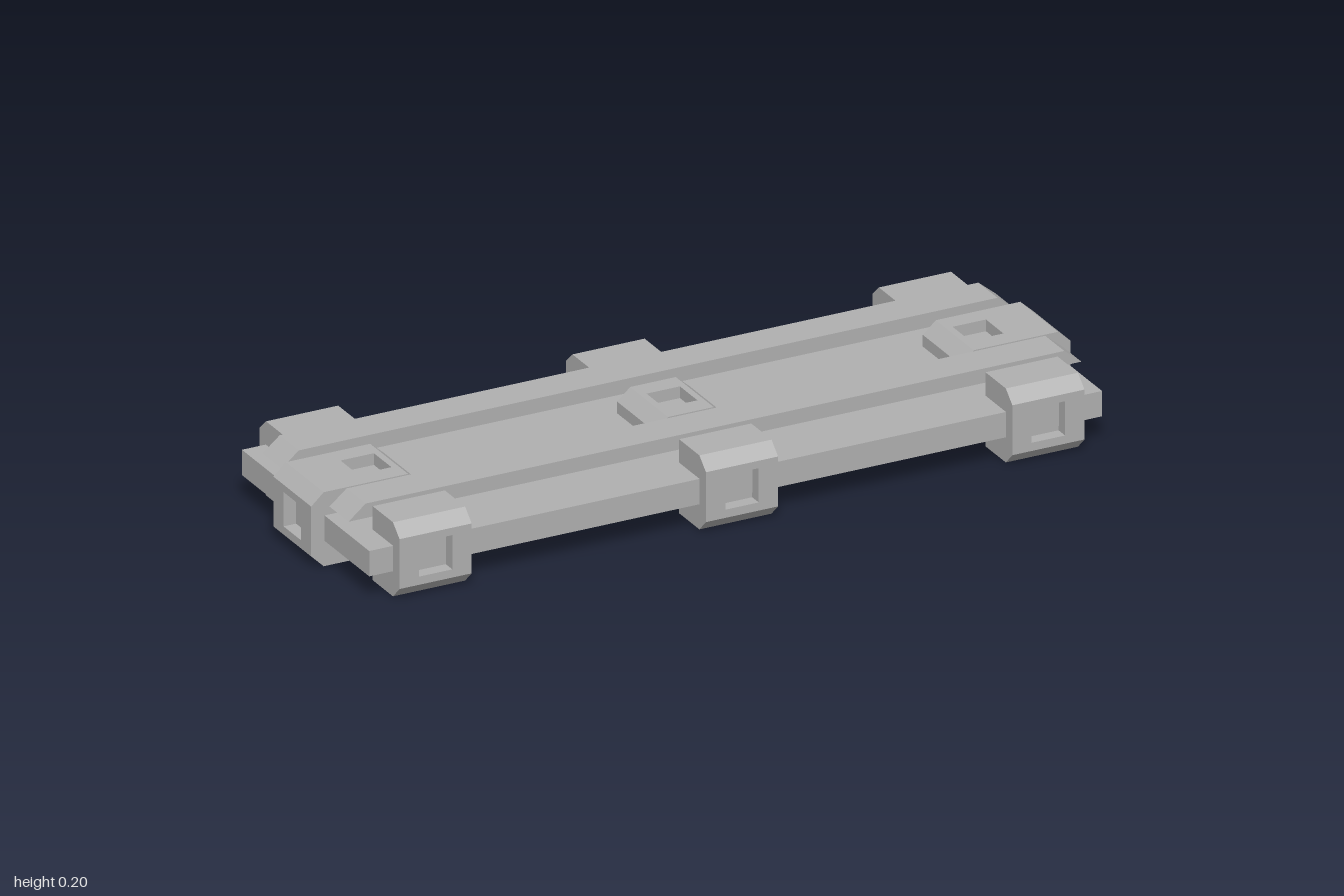
import * as THREE from 'three';

const grey = new THREE.MeshStandardMaterial({ color: 0xb0b0b0 });
grey.name = 'plain grey';

const W = 0.095; // half width of every clamp

function add(parent, name, geometry) {
  const mesh = new THREE.Mesh(geometry, grey);
  mesh.name = name;
  parent.add(mesh);
  return mesh;
}

// Box given by its limits
function box(parent, name, x0, x1, y0, y1, z0, z1) {
  const g = new THREE.BoxGeometry(x1 - x0, y1 - y0, z1 - z0);
  g.translate((x0 + x1) / 2, (y0 + y1) / 2, (z0 + z1) / 2);
  return add(parent, name, g);
}

function polygon(points) {
  return new THREE.Shape(points.map(([x, y]) => new THREE.Vector2(x, y)));
}

function extrude(shape, depth) {
  return new THREE.ExtrudeGeometry(shape, { depth, bevelEnabled: false });
}

// Profile in the y-z plane, extruded across the clamp width
function wedge(parent, name, points) {
  const g = extrude(polygon(points), 2 * W);
  g.translate(0, 0, -W);
  g.applyMatrix4(new THREE.Matrix4().makeBasis(
    new THREE.Vector3(0, 1, 0), new THREE.Vector3(0, 0, 1), new THREE.Vector3(1, 0, 0)));
  add(parent, name, g);
}

// Block facing local +z with bevelled upper and lower edges and a square socket.
// lo and hi bound the flat face; bevelLo and bevelHi are the bevel widths.
function socketBlock(name, { lo, hi, bevelLo, bevelHi, back, mid, front, socket }) {
  const group = new THREE.Group();
  group.name = name;
  box(group, 'blockBody', -W, W, lo - bevelLo, hi + bevelHi, back, mid);

  const face = polygon([[-W, lo], [W, lo], [W, hi], [-W, hi]]);
  const h = 0.044;
  face.holes.push(new THREE.Path([[-h, -h], [-h, h], [h, h], [h, -h]]
    .map(([x, y]) => new THREE.Vector2(x, y + socket))));
  const g = extrude(face, front - mid);
  g.translate(0, 0, mid);
  add(group, 'socketFace', g);

  if (bevelLo) wedge(group, 'lowerBevel', [[lo - bevelLo, mid], [lo, mid], [lo, front]]);
  if (bevelHi) wedge(group, 'upperBevel', [[hi, mid], [hi + bevelHi, mid], [hi, front]]);
  return group;
}

// Clamp standing on an outer edge, its face at the given distance
function edgeClamp(name, front) {
  return socketBlock(name, {
    lo: 0.032, hi: 0.16, bevelLo: 0.032, bevelHi: 0.03,
    back: front - 0.135, mid: front - 0.033, front, socket: 0.097,
  });
}

// Block lying on the deck, its face turned upward
function deckBlock(name, lo, hi, bevelHi, socket) {
  const block = socketBlock(name, {
    lo, hi, bevelLo: 0.035, bevelHi, back: 0.12, mid: 0.16, front: 0.19, socket,
  });
  block.setRotationFromMatrix(new THREE.Matrix4().makeBasis(
    new THREE.Vector3(0, 0, 1), new THREE.Vector3(1, 0, 0), new THREE.Vector3(0, 1, 0)));
  return block;
}

export function createModel() {
  const model = new THREE.Group();
  model.name = 'clampedPanel';

  // Main deck
  box(model, 'deck', -0.965, 0.965, 0.065, 0.13, -0.32, 0.32);

  // Two raised rails with sloping ends
  for (const side of [-1, 1]) {
    const g = extrude(polygon([[-0.965, 0.163], [0.965, 0.163], [0.92, 0.2], [-0.92, 0.2]]), 0.096);
    g.translate(0, 0, side * 0.168 - 0.048);
    add(model, side > 0 ? 'frontRail' : 'backRail', g);
  }

  // Three cross bands below, each with a clamp on the front and back edge
  for (const x of [-0.807, 0, 0.807]) {
    box(model, 'crossBand', x - W, x + W, 0.035, 0.066, -0.22, 0.22);
    for (const turn of [0, Math.PI]) {
      const clamp = edgeClamp(turn ? 'backClamp' : 'frontClamp', 0.352);
      clamp.position.x = x;
      clamp.rotation.y = turn;
      model.add(clamp);
    }
  }

  // Middle deck block
  model.add(deckBlock('middleDeckBlock', -0.06, 0.06, 0.035, 0));

  // End clamps with their deck blocks
  for (const turn of [0, Math.PI]) {
    const end = new THREE.Group();
    end.name = turn ? 'rightEnd' : 'leftEnd';
    const clamp = edgeClamp('endClamp', 1);
    clamp.rotation.y = Math.PI / 2;
    end.add(clamp, deckBlock('endDeckBlock', 0.745, 0.866, 0, 0.806));
    end.rotation.y = turn;
    model.add(end);
  }

  // Pointed gusset under the deck beside the middle band
  const gusset = extrude(polygon([[0.09, 0], [0.41, 0.25], [0.09, 0.27]].map(([x, z]) => [x, z])), 0.031);
  gusset.rotateX(-Math.PI / 2);
  gusset.translate(0, 0.035, 0);
  add(model, 'gusset', gusset);

  return model;
}
